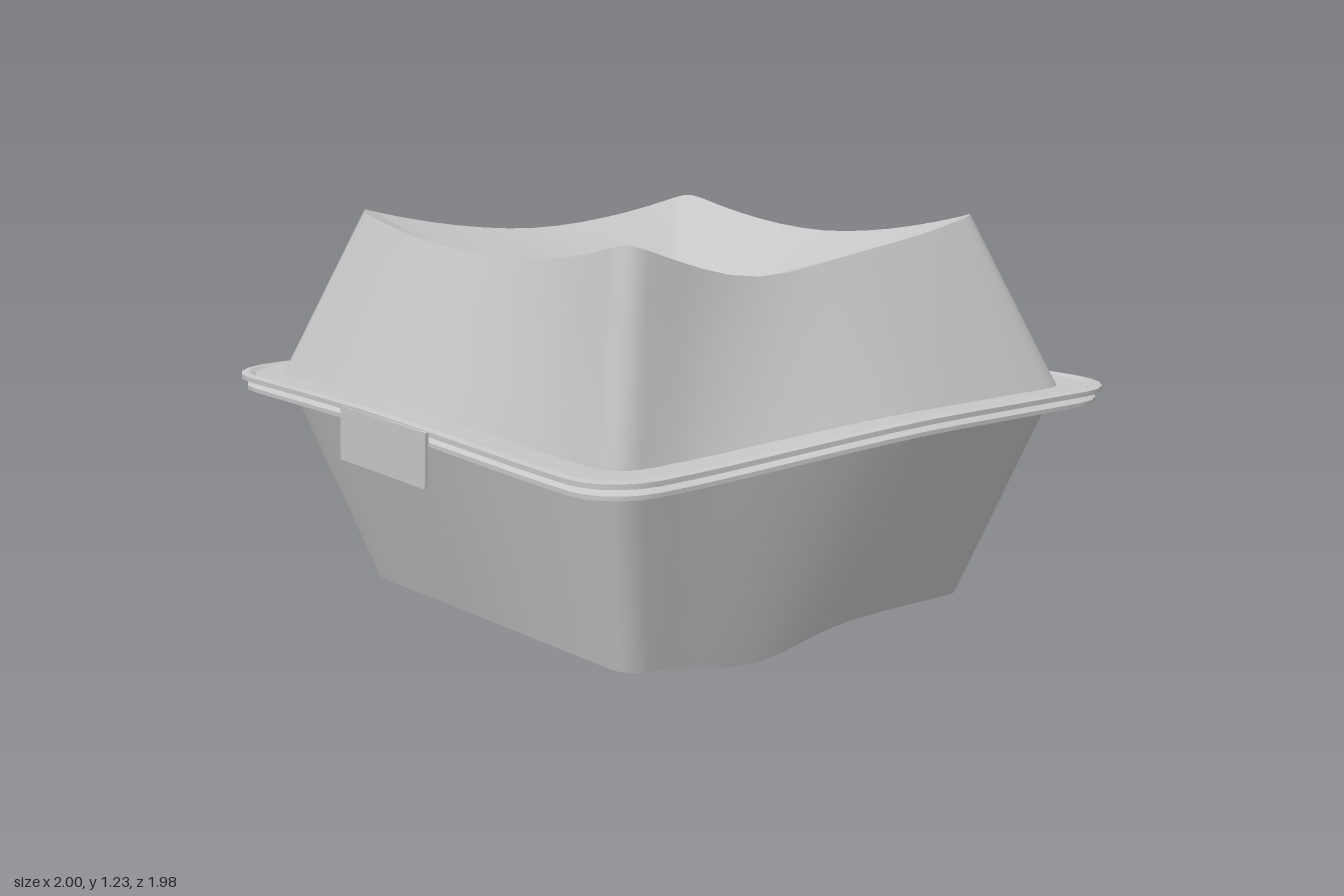
import * as THREE from 'three';
import { toCreasedNormals } from 'three/addons/utils/BufferGeometryUtils.js';

const SIDE = 12, CORNER = 5;
const smooth = THREE.MathUtils.smoothstep;

// Rounded unit square, starting at +x and turning towards +z; r is the corner radius
function unitRing(r) {
  const pts = [];
  for (let q = 0; q < 4; q++) {
    const c = Math.cos(q * Math.PI / 2), s = Math.sin(q * Math.PI / 2);
    const add = (x, z) => pts.push([x * c - z * s, x * s + z * c]);
    for (let i = 0; i < SIDE; i++) add(1, (1 - r) * (2 * i / SIDE - 1));
    for (let i = 0; i < CORNER; i++) {
      const a = i / CORNER * Math.PI / 2;
      add(1 - r + r * Math.cos(a), 1 - r + r * Math.sin(a));
    }
  }
  return pts;
}

// How strongly a point belongs to the crushed corner at +x +z
const crush = (u, v) => smooth(u + v, 0.75, 1.8);

// One cross-section: half size, corner radius, height rule and inward push of the crushed corner
function ring(size, r, height, push = 0) {
  return unitRing(r).map(([u, v]) => {
    const t = crush(u, v) * push;
    return new THREE.Vector3(u * size - t * u * u, height(u, v), v * size * 0.99 - 0.85 * t * v * v);
  });
}

// Straight wall rings between two cross-sections
function between(a, b, steps) {
  return Array.from({ length: steps + 1 }, (_, k) => a.map((p, i) => p.clone().lerp(b[i], k / steps)));
}

// Skin a list of rings; rings run bottom, outside, then inward over the top
function loft(rings, crease) {
  const pos = [], n = rings[0].length;
  for (let k = 0; k + 1 < rings.length; k++) {
    for (let i = 0; i < n; i++) {
      const j = (i + 1) % n, a = rings[k], b = rings[k + 1];
      for (const p of [a[i], b[i], a[j], b[i], b[j], a[j]]) pos.push(p.x, p.y, p.z);
    }
  }
  const geo = new THREE.BufferGeometry();
  geo.setAttribute('position', new THREE.Float32BufferAttribute(pos, 3));
  return toCreasedNormals(geo, crease);
}

// Height rules
const rimY = (offset) => (u, v) =>
  0.72 + offset - 0.01 * Math.max(0, u + v + 0.4) - 0.07 * crush(u, v);
const bump = (x, c, w) => Math.exp(-(((x - c) / w) ** 2));
const topY = (u, v) => {
  const m = Math.min(Math.abs(u), Math.abs(v));
  return 1.148 + 0.095 * m ** 1.8 - 0.042 * Math.max(0, u) ** 4 * bump(v, 0.32, 0.4) - 0.028 * crush(u, v);
};
const footY = (u, v) =>
  0.085 - 0.015 * crush(u, v)
  - 0.058 * Math.max(0, u) ** 4 * bump(v, 0.3, 0.34)
  - 0.045 * Math.max(0, -u) ** 4 * bump(v, 0, 0.45);
const wrinkle = (u, v, amount) => amount * Math.sin(5 * Math.atan2(v, u) + 1);
// Buckle in the roof on the +x side
const buckle = (u, v) => Math.max(0, u) ** 3 * bump(v, -0.15, 0.35);

export function createModel() {
  const group = new THREE.Group();
  const foam = new THREE.MeshStandardMaterial({ color: 0xc6c6c6 });
  foam.name = 'grey foam';
  const part = (name, geo) => {
    const mesh = new THREE.Mesh(geo, foam);
    mesh.name = name;
    group.add(mesh);
    return mesh;
  };

  // Lower tray with a slightly bulging underside
  const foot = ring(0.665, 0.12, footY, 0.03);
  part('tray', loft([
    ring(0.002, 0.12, () => 0.024),
    ring(0.28, 0.12, (u, v) => 0.008 + wrinkle(u, v, 0.006)),
    ring(0.5, 0.12, (u, v) => 0.012 + 0.4 * footY(u, v) + wrinkle(u, v, 0.008)),
    ...between(foot, ring(0.87, 0.14, rimY(-0.01), 0.13), 4),
  ], 0.5));

  // Lid walls, then the caved-in roof
  part('lidWalls', loft(
    between(ring(0.88, 0.14, rimY(0.01), 0.165), ring(0.675, 0.12, topY, 0.04), 4), 0.5));
  part('sunkenRoof', loft([
    ring(0.675, 0.12, topY, 0.04),
    ring(0.52, 0.12, (u, v) => 1.075 + 0.5 * (topY(u, v) - 1.15) + 0.03 * buckle(u, v), 0.03),
    ring(0.28, 0.12, (u, v) => 0.885 + wrinkle(u, v, 0.012) + 0.03 * buckle(u, v), 0.01),
    ring(0.002, 0.12, () => 0.67),
  ], 0.3));

  // Paired flanges: each profile is [half size, height offset]
  const flange = (name, profile) =>
    part(name, loft(profile.map(([s, y]) => ring(s, 0.21, rimY(y), 0.13)), 0.4));
  flange('trayFlange', [[0.83, -0.022], [0.965, -0.022], [0.985, -0.028], [0.985, -0.016], [0.965, -0.004], [0.83, -0.004]]);
  flange('lidFlange', [[0.83, 0], [0.965, 0], [0.998, 0.004], [0.998, 0.018], [0.978, 0.022], [0.965, 0.014], [0.83, 0.014]]);

  // Closing tab hanging from the front of the lid flange
  const tab = part('closingTab', new THREE.BoxGeometry(0.41, 0.155, 0.01));
  tab.position.set(-0.015, 0.632, 0.975);
  tab.rotation.set(0, 0.06, -0.055);

  return group;
}
